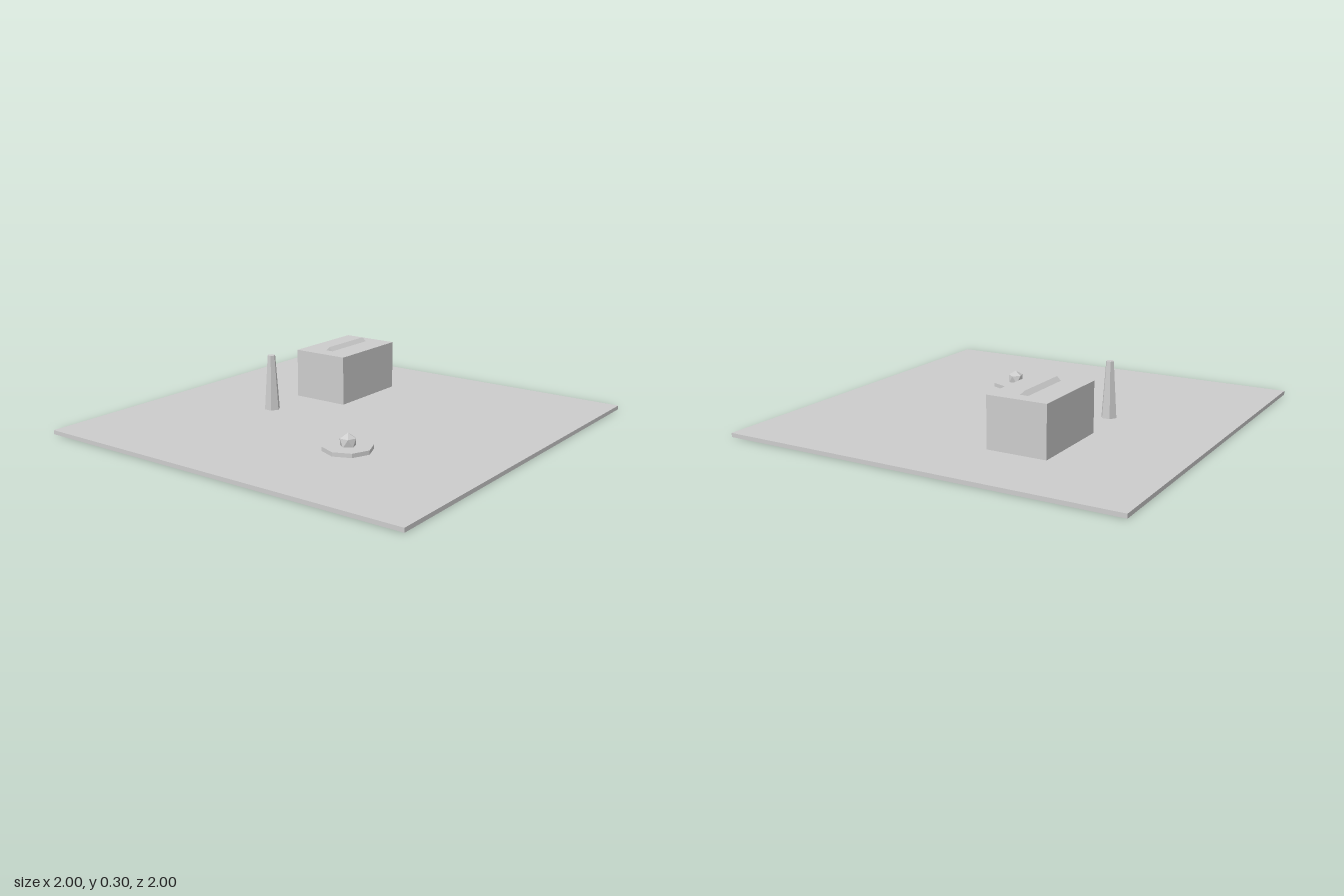
import * as THREE from 'three';

export function createModel() {
  const group = new THREE.Group();
  const grey = new THREE.MeshStandardMaterial({ color: 0xcccccc, flatShading: true });
  grey.name = 'plain grey';

  const add = (name, geometry, x, y, z) => {
    const mesh = new THREE.Mesh(geometry, grey);
    mesh.name = name;
    mesh.position.set(x, y, z);
    group.add(mesh);
    return mesh;
  };

  // Ground slab
  add('ground', new THREE.BoxGeometry(2, 0.02, 2), 0, 0.01, 0);

  // Building with a small triangular ridge along its flat roof
  add('building', new THREE.BoxGeometry(0.45, 0.25, 0.3), 0.395, 0.145, -0.3);
  const section = new THREE.Shape([
    new THREE.Vector2(-0.02, 0),
    new THREE.Vector2(0.02, 0),
    new THREE.Vector2(0, 0.02),
  ]);
  const ridge = new THREE.ExtrudeGeometry(section, { depth: 0.3, bevelEnabled: false });
  ridge.translate(0, 0, -0.15).rotateY(Math.PI / 2);
  add('roofRidge', ridge, 0.4, 0.27, -0.3);

  // Tapered six-sided chimney
  add('chimney', new THREE.CylinderGeometry(0.02, 0.04, 0.28, 6), -0.1, 0.16, -0.4);

  // Eight-sided basin with a faceted ball, one corner pointing up
  add('basin', new THREE.CylinderGeometry(0.12, 0.12, 0.02, 8), -0.4, 0.03, 0.3);
  const ball = new THREE.IcosahedronGeometry(0.043, 0);
  ball.rotateX(-Math.atan((1 + Math.sqrt(5)) / 2)).rotateY(Math.PI / 2);
  add('basinBall', ball, -0.4, 0.057, 0.3);

  return group;
}
